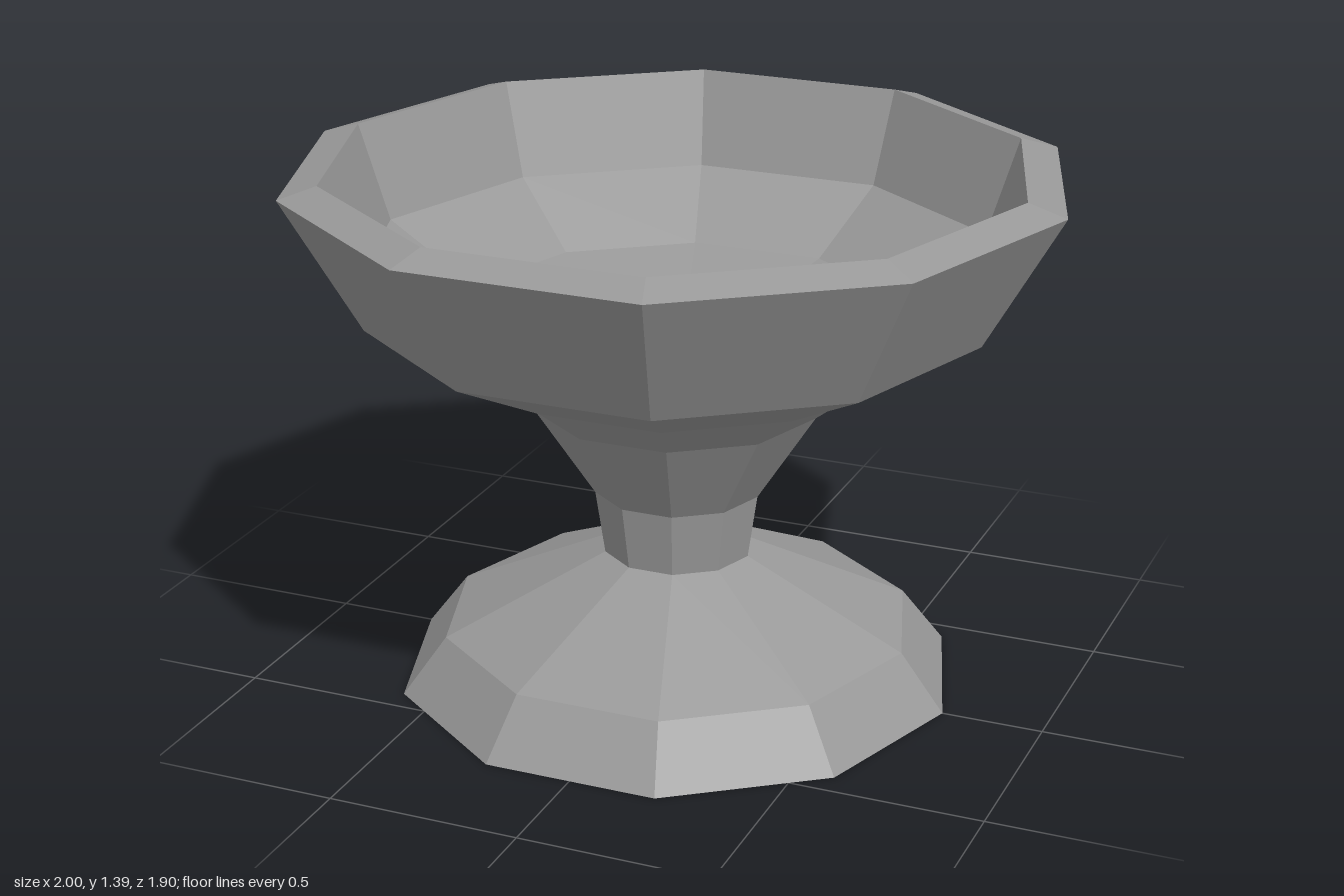
import * as THREE from 'three';

const SIDES = 10;
const grey = new THREE.MeshStandardMaterial({ color: 0x999999 });
grey.name = 'stone grey';

// Ten-sided faceted ring from a [radius, height] profile, corners on the x axis
function turned(name, profile) {
  const points = profile.map(([r, y]) => new THREE.Vector2(r, y));
  const geometry = new THREE.LatheGeometry(points, SIDES, Math.PI / 2).toNonIndexed();
  geometry.computeVertexNormals();
  const mesh = new THREE.Mesh(geometry, grey);
  mesh.name = name;
  return mesh;
}

export function createModel() {
  const group = new THREE.Group();
  group.name = 'pedestalBowl';
  group.add(
    // Closed underside and sloping foot
    turned('foot', [[0, 0], [0.735, 0], [0.62, 0.15], [0.195, 0.35]]),
    // Narrow stem
    turned('stem', [[0.195, 0.35], [0.22, 0.52]]),
    // Flaring outside of the bowl
    turned('bowlOutside', [[0.22, 0.52], [0.375, 0.76], [0.52, 0.87], [0.8, 1.01], [1, 1.36]]),
    // Bevelled rim
    turned('rim', [[1, 1.36], [0.9, 1.39]]),
    // Steep inner wall and shallow floor
    turned('bowlInside', [[0.9, 1.39], [0.815, 1.14], [0.58, 0.99], [0, 0.87]]),
  );
  return group;
}
